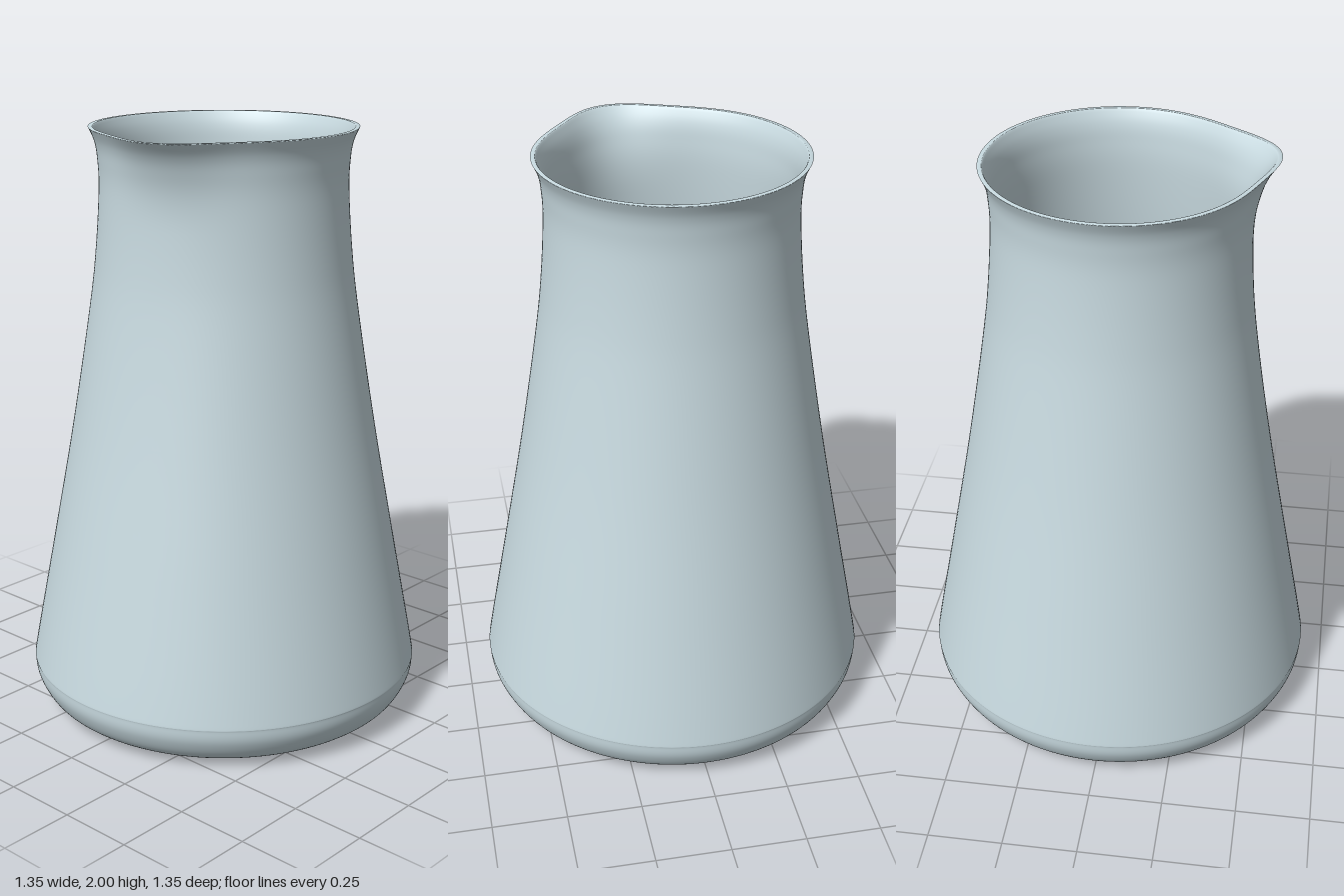
import * as THREE from 'three';
import { mergeVertices } from 'three/addons/utils/BufferGeometryUtils.js';

const WALL = 0.014;
const SPOUT_ANGLE = THREE.MathUtils.degToRad(163); // measured from +x towards +z
const SPOUT_WIDTH = THREE.MathUtils.degToRad(14.5);

// How far the spout pushes the wall out at a given height
function spoutReach(y) {
  const body = THREE.MathUtils.clamp((y - 1.1) / 0.9, 0, 1);
  const lip = THREE.MathUtils.clamp((y - 1.72) / 0.28, 0, 1);
  return 0.024 * body * body + 0.046 * lip * lip;
}

function createProfile() {
  // Outer wall from the edge of the base up to the flared lip
  const wall = new THREE.SplineCurve([
    [0.52, 0], [0.575, 0.01], [0.63, 0.045], [0.663, 0.1], [0.672, 0.15], [0.664, 0.21],
    [0.59, 0.6], [0.516, 1], [0.451, 1.4], [0.426, 1.6], [0.412, 1.8],
    [0.415, 1.9], [0.424, 1.955], [0.443, 2],
  ].map(([x, y]) => new THREE.Vector2(x, y)));
  const outer = [], inner = [];
  const steps = 90;
  for (let i = 0; i <= steps; i++) {
    const p = wall.getPoint(i / steps);
    const t = wall.getTangent(i / steps);
    p.y = Math.max(p.y, 0);
    outer.push(p);
    // Inner wall is the outer one offset inwards by the glass thickness
    inner.unshift(new THREE.Vector2(p.x - t.y * WALL, THREE.MathUtils.clamp(p.y + t.x * WALL, WALL, 2)));
  }
  return [
    new THREE.Vector2(0, 0), new THREE.Vector2(0.3, 0), new THREE.Vector2(0.5, 0),
    ...outer, ...inner,
    new THREE.Vector2(0.5, WALL), new THREE.Vector2(0.3, WALL), new THREE.Vector2(0, WALL),
  ];
}

export function createModel() {
  const group = new THREE.Group();
  group.name = 'carafe';

  let geometry = new THREE.LatheGeometry(createProfile(), 160);

  // Pull the lip out into a pouring spout
  const pos = geometry.attributes.position;
  for (let i = 0; i < pos.count; i++) {
    const x = pos.getX(i), y = pos.getY(i), z = pos.getZ(i);
    const r = Math.hypot(x, z);
    if (r < 1e-5) continue;
    let d = Math.atan2(z, x) - SPOUT_ANGLE;
    d = Math.atan2(Math.sin(d), Math.cos(d));
    const k = 1 + spoutReach(y) * Math.exp(-0.5 * (d / SPOUT_WIDTH) ** 2) / r;
    pos.setXYZ(i, x * k, y, z * k);
  }

  // Weld the seam so the shading stays smooth all the way round
  geometry.deleteAttribute('uv');
  geometry.deleteAttribute('normal');
  geometry = mergeVertices(geometry, 1e-5);
  geometry.computeVertexNormals();

  const vessel = new THREE.Mesh(geometry, new THREE.MeshStandardMaterial({ color: 0xc8dae0 }));
  vessel.name = 'vessel';
  group.add(vessel);
  return group;
}
